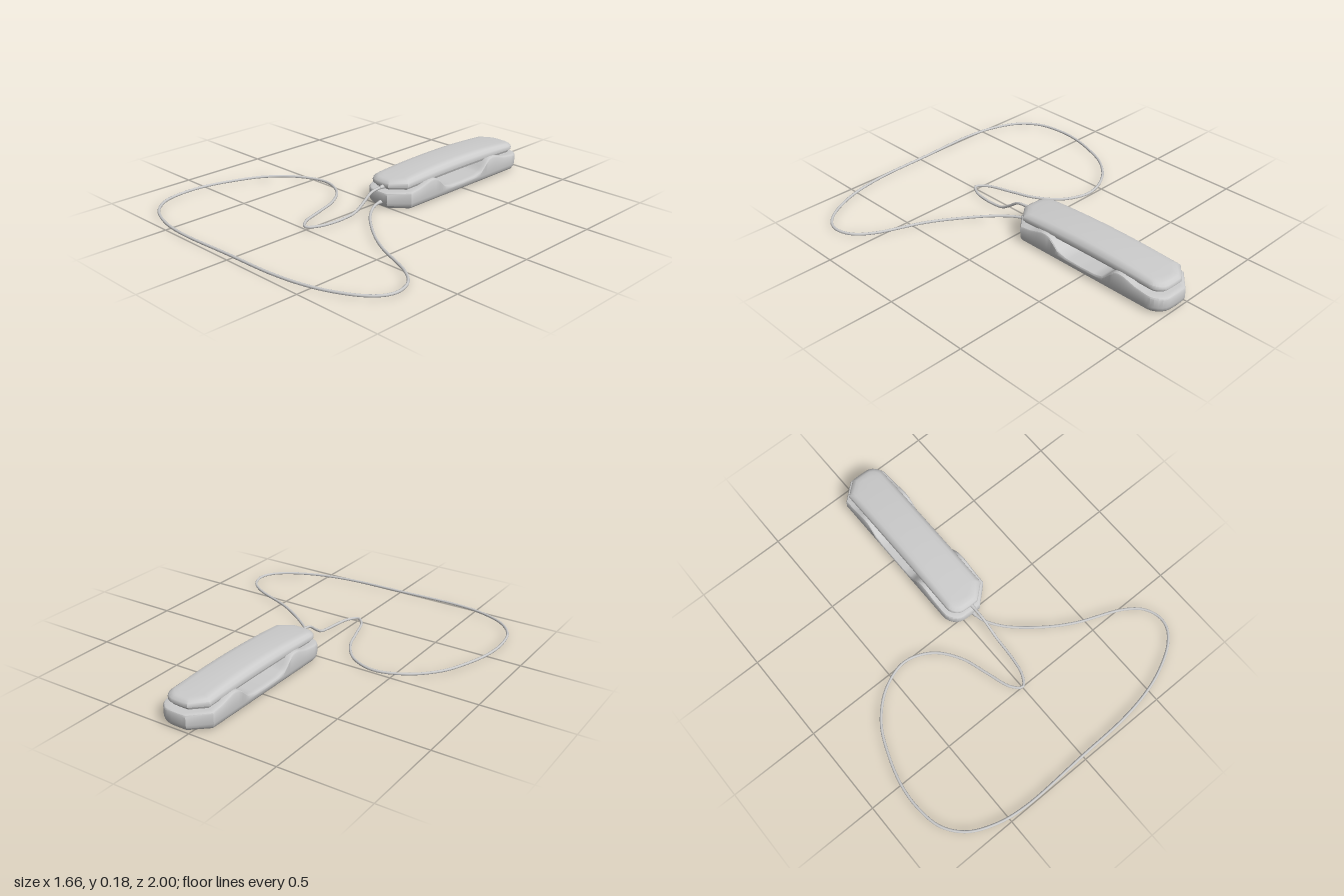
import * as THREE from 'three';
import { toCreasedNormals } from 'three/addons/utils/BufferGeometryUtils.js';

const material = new THREE.MeshStandardMaterial({ color: 0xcccccc, side: THREE.DoubleSide });

// Rounded rectangle outline with softly bowed ends; second half is the first one rotated by 180 degrees
function outline(hw, hl, r, bow) {
  const half = [];
  const sideSteps = 48, cornerSteps = 6, endSteps = 6;
  const cx = hw - r, cz = hl - r;
  for (let i = 0; i < sideSteps; i++) half.push([hw, cz - (2 * cz * i) / sideSteps]);
  for (let i = 0; i < cornerSteps; i++) {
    const a = (Math.PI / 2) * (i / cornerSteps);
    half.push([cx + r * Math.cos(a), -cz - r * Math.sin(a)]);
  }
  for (let i = 0; i < endSteps; i++) half.push([cx - (2 * cx * i) / endSteps, -hl]);
  const bowed = half.map(([x, z]) => {
    const t = Math.max(0, (Math.abs(z) - cz) / r);
    return [x, z + Math.sign(z) * bow * t * (1 - (x / hw) ** 2)];
  });
  return [...bowed, ...bowed.map(([x, z]) => [-x, -z])];
}

// Stack of inset outlines; each level is { inset, y(z) }. Both ends close along the centre line.
function shell(name, hw, hl, r, bow, levels) {
  const rings = levels.map(({ inset, y }) =>
    outline(hw - inset, hl - inset, Math.max(r - inset * 0.6, 0.012), bow).map(([x, z]) => [x, y(z), z]));
  const collapse = (ring, y) => ring.map(([, , z]) => [0, y(z), z]);
  rings.unshift(collapse(rings[0], levels[0].y));
  rings.push(collapse(rings[rings.length - 1], levels[levels.length - 1].y));

  const n = rings[0].length, index = [];
  for (let k = 0; k < rings.length - 1; k++) {
    for (let i = 0; i < n; i++) {
      const j = (i + 1) % n;
      const a = k * n + i, b = k * n + j, c = a + n, d = b + n;
      index.push(a, b, d, a, d, c);
    }
  }
  const geometry = new THREE.BufferGeometry();
  geometry.setAttribute('position', new THREE.Float32BufferAttribute(rings.flat(2), 3));
  geometry.setIndex(index);
  const mesh = new THREE.Mesh(toCreasedNormals(geometry, 0.6), material);
  mesh.name = name;
  return mesh;
}

// Height of the cradle rim by distance from the middle: grip notch, hump, then low end
const rim = [[0, 0.048], [0.1, 0.051], [0.15, 0.064], [0.195, 0.107], [0.215, 0.122], [0.24, 0.128],
  [0.275, 0.127], [0.31, 0.116], [0.35, 0.104], [0.41, 0.096], [0.53, 0.088]];
function rimHeight(z) {
  const d = Math.min(Math.abs(z), 0.529);
  const i = rim.findIndex((p) => p[0] > d);
  const [d0, y0] = rim[i - 1], [d1, y1] = rim[i];
  return THREE.MathUtils.lerp(y0, y1, (d - d0) / (d1 - d0));
}

function tube(name, points, radius, segments) {
  const curve = new THREE.CatmullRomCurve3(points.map((p) => new THREE.Vector3(...p)), false, 'centripetal');
  const mesh = new THREE.Mesh(new THREE.TubeGeometry(curve, segments, radius, 8), material);
  mesh.name = name;
  return mesh;
}

export function createModel() {
  const model = new THREE.Group();
  model.name = 'cordedTelephone';

  // Cradle base
  const base = shell('cradleBase', 0.14, 0.499, 0.075, 0.014, [
    { inset: 0.026, y: () => 0 },
    { inset: 0.012, y: () => 0.007 },
    { inset: 0.004, y: () => 0.019 },
    { inset: 0, y: () => 0.036 },
    { inset: 0, y: (z) => rimHeight(z) - 0.01 },
    { inset: 0.004, y: (z) => rimHeight(z) - 0.003 },
    { inset: 0.011, y: rimHeight },
    { inset: 0.03, y: rimHeight },
  ]);
  base.position.set(0.06, 0, -0.487);
  model.add(base);

  // Handset: recessed underside and an arched top shell
  const arch = (y, rise) => (z) => y + rise * (1 - (z / 0.493) ** 2);
  const handset = shell('handset', 0.118, 0.484, 0.06, 0.01, [
    { inset: 0.032, y: arch(0.098, 0.006) },
    { inset: 0.014, y: arch(0.103, 0.007) },
    { inset: 0.008, y: arch(0.116, 0.01) },
    { inset: 0.001, y: arch(0.118, 0.01) },
    { inset: 0, y: arch(0.128, 0.014) },
    { inset: 0.004, y: arch(0.138, 0.016) },
    { inset: 0.018, y: arch(0.147, 0.022) },
    { inset: 0.027, y: arch(0.15, 0.024) },
    { inset: 0.05, y: arch(0.151, 0.026) },
  ]);
  handset.position.set(0.06, 0, -0.483);
  model.add(handset);

  // Cord: leaves the handset, loops over the ground and returns to the base
  const ground = 0.017;
  const loop = [[0.04, 0.45], [0, 0.503], [-0.05, 0.46], [-0.1, 0.32], [-0.15, 0.18], [-0.25, 0.055],
    [-0.4, 0], [-0.57, 0.06], [-0.7, 0.19], [-0.77, 0.34], [-0.815, 0.5], [-0.824, 0.64], [-0.795, 0.79],
    [-0.71, 0.895], [-0.57, 0.96], [-0.4, 0.988], [0, 0.977], [0.28, 0.968], [0.46, 0.942], [0.6, 0.9],
    [0.74, 0.825], [0.805, 0.755], [0.822, 0.685], [0.79, 0.595], [0.7, 0.52], [0.45, 0.412], [0.3, 0.32]];
  model.add(tube('cord', [
    [0.06, 0.115, -0.01], [0.06, 0.114, 0.04], [0.061, 0.105, 0.1], [0.063, 0.068, 0.155],
    [0.064, 0.032, 0.215], [0.063, 0.021, 0.28], [0.058, ground, 0.36],
    ...loop.map(([x, z]) => [x, ground, z]),
    [0.15, 0.022, 0.195], [0.085, 0.028, 0.11], [0.064, 0.032, 0.06], [0.06, 0.033, 0],
  ], 0.0075, 260));

  // Strain reliefs where the cord enters the housings
  for (const [name, y, z] of [['handsetCordRelief', 0.115, 0.015], ['baseCordRelief', 0.033, 0.03]]) {
    const relief = new THREE.Mesh(new THREE.CylinderGeometry(0.009, 0.012, 0.035, 12), material);
    relief.name = name;
    relief.rotation.x = Math.PI / 2;
    relief.position.set(0.06, y, z);
    model.add(relief);
  }
  return model;
}
